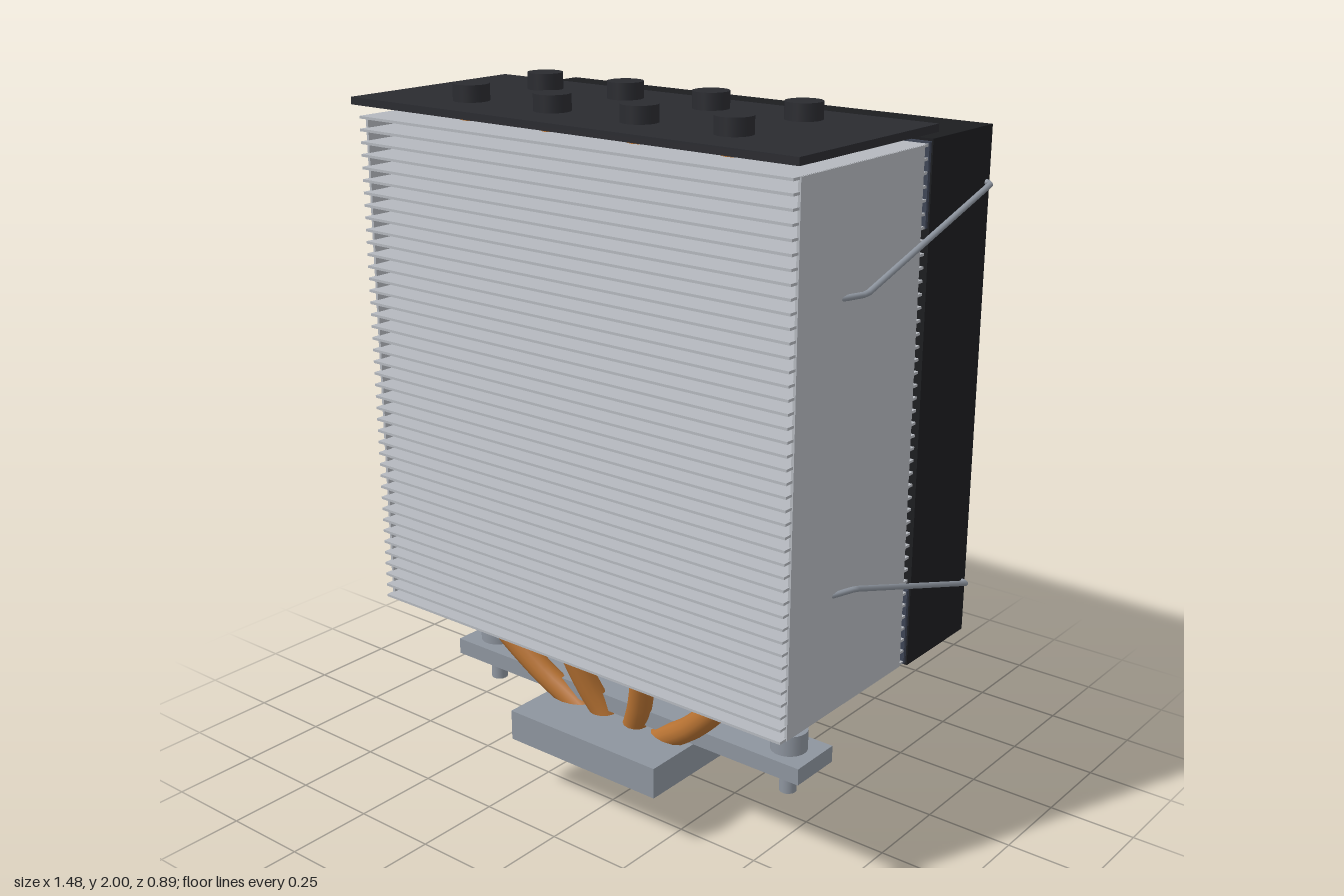
import * as THREE from 'three';

const mat = (color) => new THREE.MeshStandardMaterial({ color });

export function createModel() {
  const model = new THREE.Group();
  const silver = mat(0xb4b8be), steel = mat(0x8d949e), copper = mat(0xb87333);
  const black = mat(0x1c1d20), disc = mat(0x1a1a1c), dark = mat(0x2a2b30);
  const rubber = mat(0x3d4454), cableBlack = mat(0x111111);

  const add = (name, geometry, material, x = 0, y = 0, z = 0) => {
    const mesh = new THREE.Mesh(geometry, material);
    mesh.name = name;
    mesh.position.set(x, y, z);
    model.add(mesh);
    return mesh;
  };
  // Box given by its lower and upper limits on each axis
  const box = (name, material, [x0, x1], [y0, y1], [z0, z1]) =>
    add(name, new THREE.BoxGeometry(x1 - x0, y1 - y0, z1 - z0), material,
      (x0 + x1) / 2, (y0 + y1) / 2, (z0 + z1) / 2);
  // Upright cylinder between two heights
  const post = (name, material, r, x, z, y0, y1, sides = 24) =>
    add(name, new THREE.CylinderGeometry(r, r, y1 - y0, sides), material, x, (y0 + y1) / 2, z);
  // Round rod following straight segments
  const rod = (name, material, points, r, sides) => {
    const path = new THREE.CurvePath();
    const v = points.map((p) => new THREE.Vector3(...p));
    for (let i = 1; i < v.length; i++) path.add(new THREE.LineCurve3(v[i - 1], v[i]));
    return add(name, new THREE.TubeGeometry(path, 40, r, sides), material);
  };

  // Fin stack
  const finCount = 42;
  const finGeometry = new THREE.BoxGeometry(1.41, 0.007, 0.575);
  for (let i = 0; i < finCount; i++) {
    add('fin', finGeometry, silver, 0, 0.508 + (i * 1.394) / (finCount - 1), 0.1475);
  }
  for (const s of [-1, 1]) {
    add('sidePanel', new THREE.BoxGeometry(0.008, 1.4, 0.525), silver, s * 0.704, 1.205, 0.1475);
  }

  // Top cover
  box('topCover', dark, [-0.725, 0.725], [1.935, 1.955], [-0.147, 0.443]);

  // Heat pipes, bent inward to the base, with end caps
  for (const x of [-0.43, -0.143, 0.143, 0.43]) {
    for (const z of [0, 0.286]) {
      const dz = z - 0.143;
      post('heatPipe', copper, 0.032, x, z, 0.5, 1.94, 12);
      const bend = new THREE.CatmullRomCurve3([
        [x, 0.53, z], [x * 0.98, 0.48, 0.143 + dz * 0.95],
        [x * 0.66, 0.33, 0.143 + dz * 0.68], [x * 0.4, 0.25, 0.143 + dz * 0.52],
        [x * 0.3, 0.22, 0.143 + dz * 0.5],
      ].map((p) => new THREE.Vector3(...p)));
      add('heatPipeBend', new THREE.TubeGeometry(bend, 10, 0.035, 12), copper);
      post('pipeCap', dark, 0.049, x, z, 1.95, 2.0);
    }
  }

  // Base block and contact plate
  box('baseBlock', steel, [-0.262, 0.262], [0.165, 0.255], [-0.085, 0.385]);
  box('contactPlate', silver, [-0.2, 0.2], [0.158, 0.17], [-0.05, 0.35]);

  // Mounting bar with screws
  box('mountingBar', steel, [-0.623, 0.623], [0.267, 0.315], [0.07, 0.23]);
  for (const x of [-0.537, 0.537]) {
    post('screwHead', steel, 0.051, x, 0.15, 0.315, 0.373);
    post('screwShaft', steel, 0.024, x, 0.15, 0.187, 0.27, 16);
  }

  // Fan body, slightly raised disc and corner pads
  box('fanFrame', black, [-0.712, 0.712], [0.498, 1.917], [-0.44, -0.146]);
  const fanDisc = add('fanDisc', new THREE.CylinderGeometry(0.69, 0.69, 0.305, 64), disc, 0, 1.207, -0.2935);
  fanDisc.rotation.x = Math.PI / 2;
  for (const x of [-0.6, 0.6]) {
    for (const y of [0.612, 1.803]) {
      add('cornerPad', new THREE.BoxGeometry(0.215, 0.215, 0.012), rubber, x, y, -0.142);
    }
  }

  // Wire clips on both sides, mirrored top and bottom
  for (const s of [-1, 1]) {
    for (const t of [-1, 1]) {
      const at = (x, h, z) => [s * x, 1.21 + t * h, z];
      rod('wireClip', steel, [
        at(0.695, 0.38, 0.245), at(0.725, 0.38, 0.15),
        at(0.73, 0.56, -0.42), at(0.7, 0.56, -0.425),
      ], 0.008, 8);
    }
  }

  // Fan cable and plug
  for (let i = 0; i < 4; i++) {
    const x = (i - 1.5) * 0.01;
    const spread = (i - 1.5) * 0.006;
    rod('cableStrand', cableBlack, [
      [x, 0.51, -0.31], [x, 0.4, -0.18 + spread], [x, 0.25, -0.085 + spread],
      [x, 0.16, -0.03], [x, 0.045, -0.14],
    ], 0.006, 6);
  }
  box('cablePlug', cableBlack, [-0.057, 0.057], [0, 0.073], [-0.172, -0.12]);

  return model;
}
